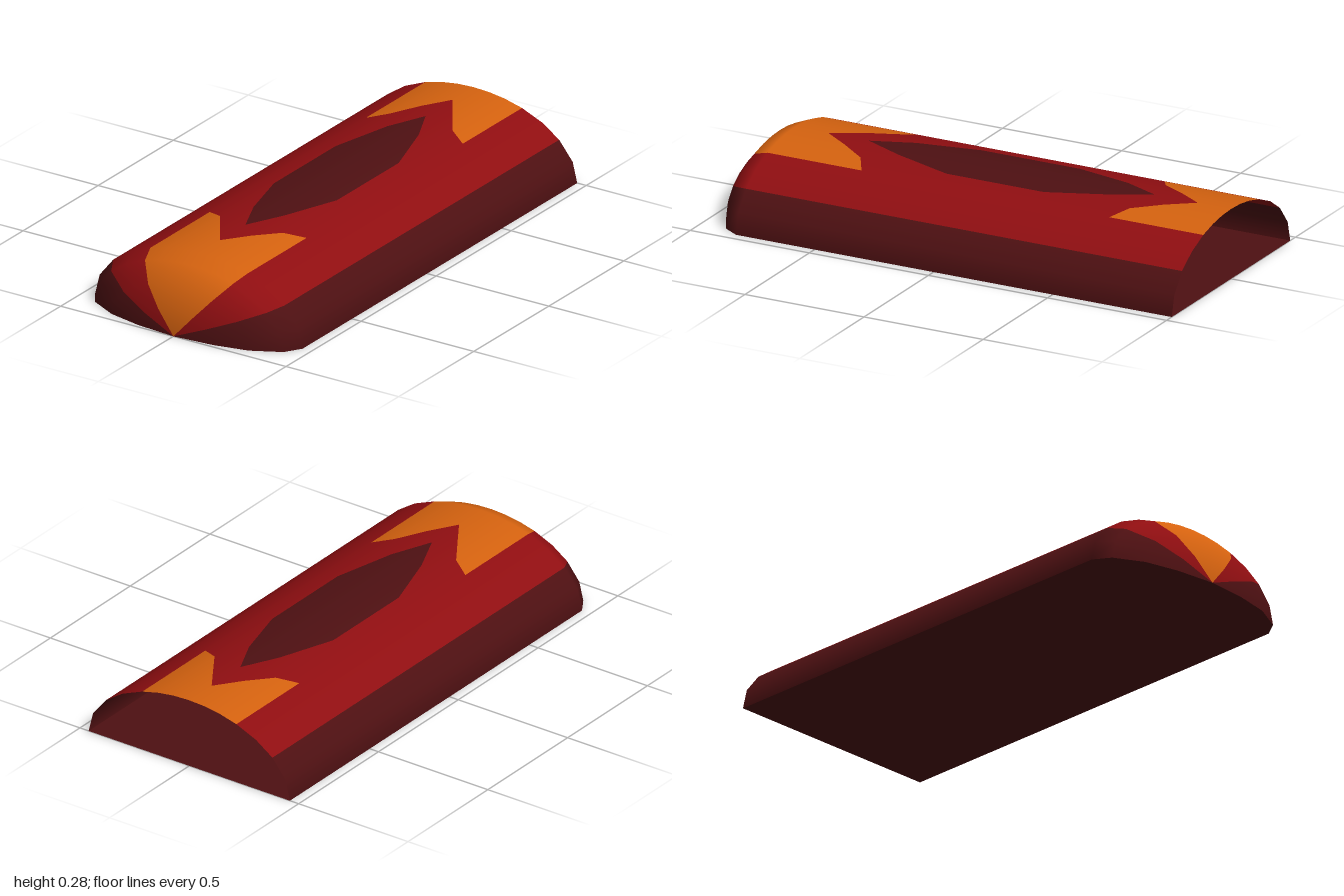
import * as THREE from 'three';

const A = 0.46, B = 0.275;             // half width and height of the arch
const NOSE = 0.83, BACK = -1;          // where the nose begins, open back end
const HALF = [0.46, 0.44, 0.38, 0.305, 0.215, 0.14, 0.07];
const XS = [...HALF.map(x => -x), 0, ...HALF.slice().reverse()];
// nose rings: [z, scale of the arch]
const RINGS = [[NOSE, 1], [0.895, 0.91], [0.955, 0.66], [0.985, 0.36], [1, 0]];

// painted outlines, z at a given |x|: [[x, z], ...]
const FRONT_CHEVRON = [[0, 0.69], [0.14, 0.48], [0.215, 0.435]];
const BACK_CHEVRON = [[0, -0.86], [0.14, -0.65], [0.215, -0.605]];
const DIAMOND_FRONT = [[0, 0.52], [0.07, 0.36], [0.14, 0.12]];
const DIAMOND_BACK = [[0, -0.68], [0.07, -0.53], [0.14, -0.29]];

function zAt(line, x) {
  const ax = Math.abs(x);
  for (let i = 1; i < line.length; i++) {
    const [x0, z0] = line[i - 1], [x1, z1] = line[i];
    if (ax <= x1 + 1e-6) return z0 + (z1 - z0) * (ax - x0) / (x1 - x0);
  }
  return line[line.length - 1][1];
}

const archY = x => B * Math.sqrt(Math.max(0, 1 - (x * x) / (A * A)));

// collects quads with smooth elliptical normals
function makePatch() {
  const pos = [], nor = [];
  const add = (x, z, s = 1) => {
    const y = archY(x);
    const n = new THREE.Vector3(s * x / (A * A), s * y / (B * B),
      Math.max(0, z - NOSE) / ((1 - NOSE) ** 2)).normalize();
    pos.push(x * s, y * s, z);
    nor.push(n.x, n.y, n.z);
  };
  return {
    // each corner is [x, z, scale]
    quad(a, b, c, d) { [a, b, c, a, c, d].forEach(v => add(...v)); },
    geometry() {
      const g = new THREE.BufferGeometry();
      g.setAttribute('position', new THREE.Float32BufferAttribute(pos, 3));
      g.setAttribute('normal', new THREE.Float32BufferAttribute(nor, 3));
      return g;
    }
  };
}

export function createModel() {
  const group = new THREE.Group();
  const material = (name, color) =>
    new THREE.MeshStandardMaterial({ name, color, side: THREE.DoubleSide });
  const mats = {
    dark: material('dark maroon', 0x4e1012),
    red: material('deep red', 0x900e11),
    orange: material('burnt orange', 0xd5620f)
  };
  const addMesh = (name, geometry, mat) => {
    const mesh = new THREE.Mesh(geometry, mat);
    mesh.name = name;
    group.add(mesh);
  };

  const parts = {
    lowerSides: [makePatch(), mats.dark],
    redShell: [makePatch(), mats.red],
    orangeChevrons: [makePatch(), mats.orange],
    roofDiamond: [makePatch(), mats.dark]
  };

  for (let i = 0; i < XS.length - 1; i++) {
    const x0 = XS[i], x1 = XS[i + 1], mid = Math.abs(x0 + x1) / 2;
    const strip = (part, from, to) => {
      const z = (edge, x) => Array.isArray(edge) ? zAt(edge, x) : edge;
      parts[part][0].quad([x0, z(from, x0)], [x0, z(to, x0)],
        [x1, z(to, x1)], [x1, z(from, x1)]);
    };
    const band = mid > 0.38 ? 'lowerSides' : mid > 0.215 ? 'redShell' : 'orangeChevrons';

    // straight body
    if (band !== 'orangeChevrons') {
      strip(band, BACK, NOSE);
    } else {
      strip(band, BACK, BACK_CHEVRON);
      if (mid < 0.14) {
        strip('redShell', BACK_CHEVRON, DIAMOND_BACK);
        strip('roofDiamond', DIAMOND_BACK, DIAMOND_FRONT);
        strip('redShell', DIAMOND_FRONT, FRONT_CHEVRON);
      } else {
        strip('redShell', BACK_CHEVRON, FRONT_CHEVRON);
      }
      strip(band, FRONT_CHEVRON, NOSE);
    }

    // rounded nose
    for (let r = 0; r < RINGS.length - 1; r++) {
      const [za, sa] = RINGS[r], [zb, sb] = RINGS[r + 1];
      parts[band][0].quad([x0, za, sa], [x0, zb, sb], [x1, zb, sb], [x1, za, sa]);
    }
  }
  for (const [name, [patch, mat]] of Object.entries(parts)) addMesh(name, patch.geometry(), mat);

  // flat floor following the plan outline
  const side = RINGS.map(([z, s]) => new THREE.Vector2(A * s, z));
  const outline = [new THREE.Vector2(A, BACK), ...side,
    ...side.slice(0, -1).reverse().map(p => new THREE.Vector2(-p.x, p.y)),
    new THREE.Vector2(-A, BACK)];
  addMesh('floor', new THREE.ShapeGeometry(new THREE.Shape(outline)).rotateX(Math.PI / 2), mats.dark);

  return group;
}
